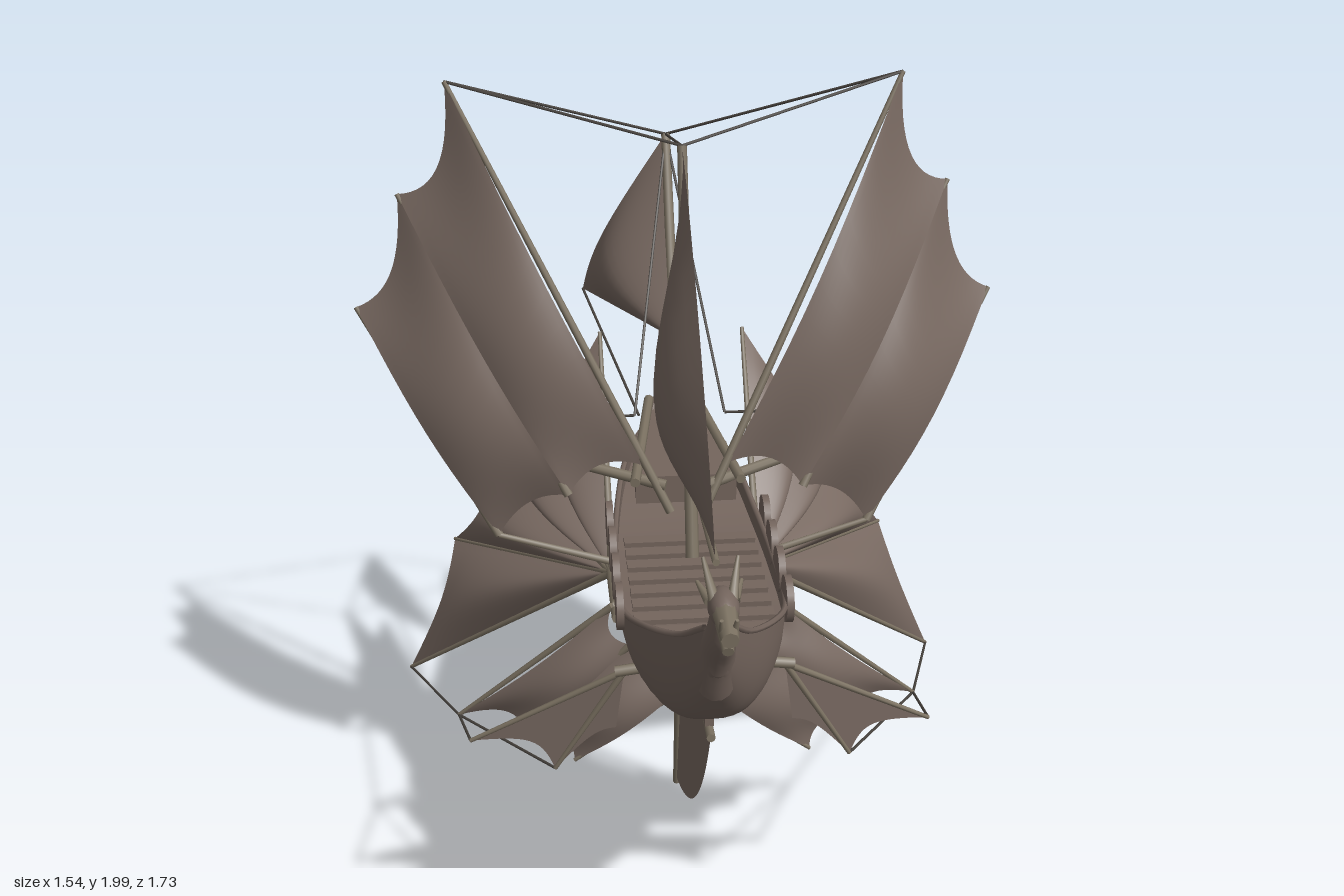
import * as THREE from 'three';

const V = (x, y, z) => new THREE.Vector3(x, y, z);
const mat = (color) => new THREE.MeshStandardMaterial({ color, side: THREE.DoubleSide });
const WOOD = mat(0x74655d), CLOTH = mat(0x786961), SPAR = mat(0x7c7262), ROPE = mat(0x4a4540);

function add(group, name, geometry, material) {
  const m = new THREE.Mesh(geometry, material);
  m.name = name;
  group.add(m);
  return m;
}

// Tapered pole between two points
function rod(group, name, a, b, r0 = 0.008, r1 = r0, material = SPAR, sides = 8) {
  const d = b.clone().sub(a);
  const m = add(group, name, new THREE.CylinderGeometry(r1, r0, d.length(), sides), material);
  m.position.copy(a).addScaledVector(d, 0.5);
  m.quaternion.setFromUnitVectors(V(0, 1, 0), d.normalize());
  return m;
}
const rope = (group, a, b) => rod(group, 'rope', a, b, 0.0035, 0.0035, ROPE, 5);

// Grid surface from a function of (u, v)
function surface(f, nu, nv) {
  const pos = [], idx = [];
  for (let i = 0; i <= nu; i++) for (let j = 0; j <= nv; j++) pos.push(...f(i / nu, j / nv).toArray());
  for (let i = 0; i < nu; i++) for (let j = 0; j < nv; j++) {
    const a = i * (nv + 1) + j, b = a + nv + 1;
    idx.push(a, b, a + 1, b, b + 1, a + 1);
  }
  const g = new THREE.BufferGeometry();
  g.setAttribute('position', new THREE.Float32BufferAttribute(pos, 3));
  g.setIndex(idx);
  g.computeVertexNormals();
  return g;
}

// Cloth stretched from root points to tip points, with scalloped edges and a billow
// (even: share of the billow on the ribs; span below 1 lets the outer edge billow too)
function membrane(group, name, roots, tips,
  { scallop = 0, rootScallop = 0, billow = V(0, 0, 0), even = 0, span = 1 } = {}) {
  for (let i = 0; i < tips.length - 1; i++) {
    const f = (u, v) => {
      const bow = 4 * u * (1 - u);
      const a = roots[i].clone().lerp(roots[i + 1], u);
      const b = tips[i].clone().lerp(tips[i + 1], u);
      const t = rootScallop * bow + v * (1 - (scallop + rootScallop) * bow);
      return a.lerp(b, t).addScaledVector(billow, Math.sin(Math.PI * span * v) * (even + (1 - even) * bow));
    };
    add(group, name, surface(f, 14, 12), CLOTH);
  }
}

// Hull stations: z, half width, gunwale height, keel height
const STATIONS = [
  [0.67, 0.03, 1.12, 1.0], [0.6, 0.075, 1.065, 0.89], [0.5, 0.14, 1.03, 0.785], [0.38, 0.178, 1.0, 0.77],
  [0.1, 0.18, 0.99, 0.77], [-0.1, 0.165, 1.0, 0.77], [-0.25, 0.142, 1.03, 0.785], [-0.4, 0.105, 1.05, 0.82],
  [-0.5, 0.065, 1.06, 0.9], [-0.58, 0.035, 1.11, 0.99], [-0.66, 0.02, 1.205, 1.125], [-0.73, 0.016, 1.235, 1.195],
  [-0.83, 0.015, 1.25, 1.215],
];
const hullCurve = new THREE.CatmullRomCurve3(STATIONS.map(([z, w, t]) => V(w, t, z)));
const keelCurve = new THREE.CatmullRomCurve3(STATIONS.map(([z, w, , k]) => V(w, k, z)));

function buildHull(g) {
  const skin = (u, v) => {
    const top = hullCurve.getPoint(u), k = keelCurve.getPoint(u), a = Math.PI * v;
    const c = Math.cos(a), s = Math.max(0, Math.sin(a));
    return V(top.x * Math.sign(c) * Math.abs(c) ** 0.75, top.y - (top.y - k.y) * s ** 0.8, top.z);
  };
  add(g, 'hull', surface(skin, 48, 24), WOOD);
  const deck = (u, v) => {
    const p = hullCurve.getPoint(u);
    return V(p.x * 0.97 * (1 - 2 * v), p.y - Math.min(0.045, p.x * 0.4), p.z);
  };
  add(g, 'deck', surface(deck, 48, 2), WOOD);
  for (const s of [1, -1]) {
    const pts = STATIONS.slice(0, 8).map(([z, w, t]) => V(s * w, t, z));
    add(g, 'gunwale', new THREE.TubeGeometry(new THREE.CatmullRomCurve3(pts), 40, 0.007, 6), WOOD);
    for (const z of [0.36, 0.225, 0.095, -0.035]) {
      const shield = add(g, 'shield', new THREE.CylinderGeometry(0.053, 0.053, 0.016, 20), WOOD);
      shield.rotation.z = Math.PI / 2;
      shield.position.set(s * 0.186, 1.0, z);
    }
  }
  // Rowing benches and ship's keel
  for (let i = 0; i < 8; i++) {
    const b = add(g, 'bench', new THREE.BoxGeometry(0.31, 0.012, 0.035), WOOD);
    b.position.set(0, 0.97, 0.43 - i * 0.06);
  }
  add(g, 'keel', new THREE.BoxGeometry(0.02, 0.025, 0.72), WOOD).position.set(0, 0.772, 0.13);
  // Raised aft deck, narrowing towards the stern
  const plan = new THREE.Shape([[-0.12, 0.07], [0.12, 0.07], [0.115, 0.25], [0.06, 0.46], [-0.06, 0.46], [-0.115, 0.25]]
    .map(([x, y]) => new THREE.Vector2(x, y)));
  const aft = add(g, 'aftDeck', new THREE.ExtrudeGeometry(plan, { depth: 0.07, bevelEnabled: false }), WOOD);
  aft.rotation.x = -Math.PI / 2;
  aft.position.y = 1.03;
  for (const s of [1, -1]) rod(g, 'aftRail', V(s * 0.125, 1.11, -0.02), V(s * 0.06, 1.125, -0.47), 0.012);
}

function buildFigurehead(g) {
  const path = new THREE.CatmullRomCurve3([V(0, 0.96, 0.6), V(0, 1.06, 0.65), V(0, 1.13, 0.71), V(0, 1.2, 0.74)]);
  const neck = (u, v) => {
    const p = path.getPoint(u), a = v * Math.PI * 2, r = 0.056 - 0.026 * u;
    return V(Math.cos(a) * r * 0.8, p.y + Math.sin(a) * r * 0.7, p.z - Math.sin(a) * r * 0.7);
  };
  add(g, 'neck', surface(neck, 12, 14), WOOD);
  const skull = add(g, 'skull', new THREE.SphereGeometry(1, 14, 10), WOOD);
  skull.scale.set(0.032, 0.036, 0.06);
  skull.position.set(0, 1.21, 0.745);
  rod(g, 'snout', V(0, 1.215, 0.75), V(0, 1.205, 0.868), 0.028, 0.018);
  rod(g, 'lowerJaw', V(0, 1.185, 0.75), V(0, 1.16, 0.835), 0.02, 0.012);
  for (const s of [1, -1]) {
    rod(g, 'horn', V(s * 0.018, 1.225, 0.745), V(s * 0.035, 1.29, 0.685), 0.012, 0.004);
    rod(g, 'ear', V(s * 0.025, 1.21, 0.72), V(s * 0.045, 1.225, 0.665), 0.012, 0.004);
    rod(g, 'nostril', V(s * 0.012, 1.21, 0.84), V(s * 0.015, 1.24, 0.85), 0.008, 0.004);
  }
}

const MAIN_TOP = V(0, 1.87, -0.17), AFT_TOP = V(0, 1.765, -0.635);

function buildCentreSails(g) {
  // Fore sail on the raked mast
  const foot = V(0, 1.19, 0.03), bow = V(0, 1.23, 0.59);
  rod(g, 'mainMast', V(0, 0.93, 0.1), MAIN_TOP, 0.016, 0.011);
  rod(g, 'foreBoom', V(0, 1.18, -0.03), V(0, 1.232, 0.605), 0.011, 0.008);
  membrane(g, 'foreSail', [foot, foot], [bow, MAIN_TOP], { scallop: -0.13, billow: V(-0.09, 0, 0) });
  // Aft sail, swung out to one side
  const clew = V(-0.21, 1.31, -0.79), tack = V(0, 1.32, -0.39);
  rod(g, 'aftMast', V(0, 1.03, -0.25), AFT_TOP, 0.015, 0.011);
  membrane(g, 'aftSail', [tack, tack], [AFT_TOP, clew], { scallop: 0.15, billow: V(-0.1, 0, 0), span: 0.75 });
  rope(g, clew, V(-0.1, 1.18, -0.25));
  // Flat keel sail under the hull, with curved edges
  const outline = new THREE.Shape();
  outline.moveTo(0.52, 0.75);
  outline.quadraticCurveTo(0.25, 0.285, -0.375, 0.015);
  outline.quadraticCurveTo(-0.225, 0.36, -0.205, 0.69);
  add(g, 'keelSail', new THREE.ShapeGeometry(outline, 20), CLOTH).rotation.y = -Math.PI / 2;
  rod(g, 'keelMast', V(0, 0.8, -0.19), V(0, 0, -0.38), 0.013, 0.01);
  rod(g, 'keelBoom', V(0, 0.69, -0.2), V(0, 0.755, 0.53), 0.01);
  rod(g, 'keelStrut', V(0, 0.79, 0.3), V(0, 0.73, 0.3), 0.009);
  // Tail fins in the centre plane
  const t0 = V(0, 0.98, -0.48), tails = [V(0, 1.23, -0.82), V(0, 0.98, -0.815), V(0, 0.77, -0.855), V(0, 0.86, -0.52)];
  membrane(g, 'tailFin', tails.map(() => t0), tails, { scallop: 0.11 });
  tails.slice(1, 3).forEach((t) => rod(g, 'tailSpar', t0, t, 0.008, 0.005));
  const k0 = V(0, 0.82, -0.3), keels = [V(0, 0.7, -0.6), V(0, 0.46, -0.6), V(0, 0.55, -0.42)];
  membrane(g, 'lowerTailFin', keels.map(() => k0), keels, { scallop: 0.18 });
  rod(g, 'lowerTailSpar', k0, keels[1], 0.008, 0.005);
  rope(g, tails[2], keels[1]);
  rope(g, MAIN_TOP, AFT_TOP);
}

function buildSide(g, s) {
  const P = (x, y, z) => V(s * x, y, z);
  // Great upper wing
  const wingRoots = [P(0.1, 1.13, -0.07), P(0.28, 1.06, -0.07), P(0.45, 0.93, -0.13)];
  const wingTips = [P(0.525, 1.985, -0.33), P(0.65, 1.72, -0.35), P(0.765, 1.45, -0.335)];
  membrane(g, 'upperWing', wingRoots, wingTips,
    { scallop: 0.085, rootScallop: 0.045, billow: V(0, 0, 0.1), even: 0.75 });
  wingTips.forEach((t, i) => rod(g, 'wingSpar', i ? wingRoots[i] : P(0.04, 1.02, -0.04), t, 0.011, 0.006));
  const yard = P(0.615, 1.18, -0.24);
  rod(g, 'wingYard', P(0.05, 1.08, -0.06), yard, 0.014, 0.009);
  rod(g, 'wingStrut', P(0.15, 0.85, -0.1), wingRoots[2], 0.01, 0.007);
  rope(g, MAIN_TOP, wingTips[0]);
  rope(g, AFT_TOP, wingTips[0]);
  rope(g, AFT_TOP, P(0.11, 1.18, -0.25));
  rope(g, yard, wingTips[2]);
  rope(g, yard, P(0.11, 1.18, -0.25));
  rope(g, yard, wingRoots[2]);

  // Fan-shaped rear fin
  const hub = P(0.18, 0.83, -0.1);
  const fan = [P(0.72, 0.31, -0.55), P(0.58, 0.67, -0.615), P(0.45, 0.9, -0.605), P(0.33, 1.08, -0.56), P(0.18, 1.3, -0.5)];
  membrane(g, 'rearFin', fan.map(() => hub), fan, { scallop: 0.16, billow: P(0.075, 0, 0), span: 0.78 });
  fan.forEach((t) => rod(g, 'rearFinSpar', hub, t, 0.01, 0.005));
  rod(g, 'outrigger', P(0.18, 0.83, -0.13), P(0.18, 0.845, 0.15), 0.014);
  rod(g, 'outriggerArm', P(0.1, 0.85, -0.07), hub, 0.014);

  // Lower middle wing
  const midRoots = [P(0.19, 0.85, 0.1), P(0.15, 0.76, 0.13), P(0.035, 0.64, 0.15)];
  const midTips = [P(0.57, 0.49, -0.02), P(0.41, 0.48, 0.05), P(0.29, 0.42, 0.1)];
  membrane(g, 'lowerWing', midRoots, midTips, { scallop: 0.12, rootScallop: 0.08, billow: V(0, 0, 0.045), even: 0.6 });
  midTips.forEach((t, i) => rod(g, 'lowerWingSpar', midRoots[i], t, 0.009, 0.005));
  rod(g, 'lowerWingStrut', P(0.1, 0.84, 0.11), midRoots[0], 0.012);
  rod(g, 'lowerWingStrut', P(0.08, 0.79, 0.13), midRoots[2], 0.009);

  // Small front fin
  const pin = P(0.18, 0.85, 0.39);
  const fins = [P(0.53, 0.64, 0.32), P(0.34, 0.58, 0.36), P(0.2, 0.7, 0.385)];
  membrane(g, 'frontFin', fins.map(() => pin), fins, { scallop: 0.16 });
  fins.slice(0, 2).forEach((t) => rod(g, 'frontFinSpar', pin, t, 0.008, 0.005));
  rod(g, 'frontFinMount', P(0.12, 0.86, 0.39), P(0.2, 0.85, 0.39), 0.013);
  rope(g, fins[0], midTips[0]);
  rope(g, fins[1], midTips[0]);
  rope(g, midTips[0], fan[0]);
}

export function createModel() {
  const model = new THREE.Group();
  model.name = 'wingedLongship';
  const section = (name, build, ...args) => {
    const g = new THREE.Group();
    g.name = name;
    build(g, ...args);
    model.add(g);
  };
  section('hullGroup', buildHull);
  section('figurehead', buildFigurehead);
  section('centreSails', buildCentreSails);
  section('leftRigging', buildSide, 1);
  section('rightRigging', buildSide, -1);
  return model;
}
